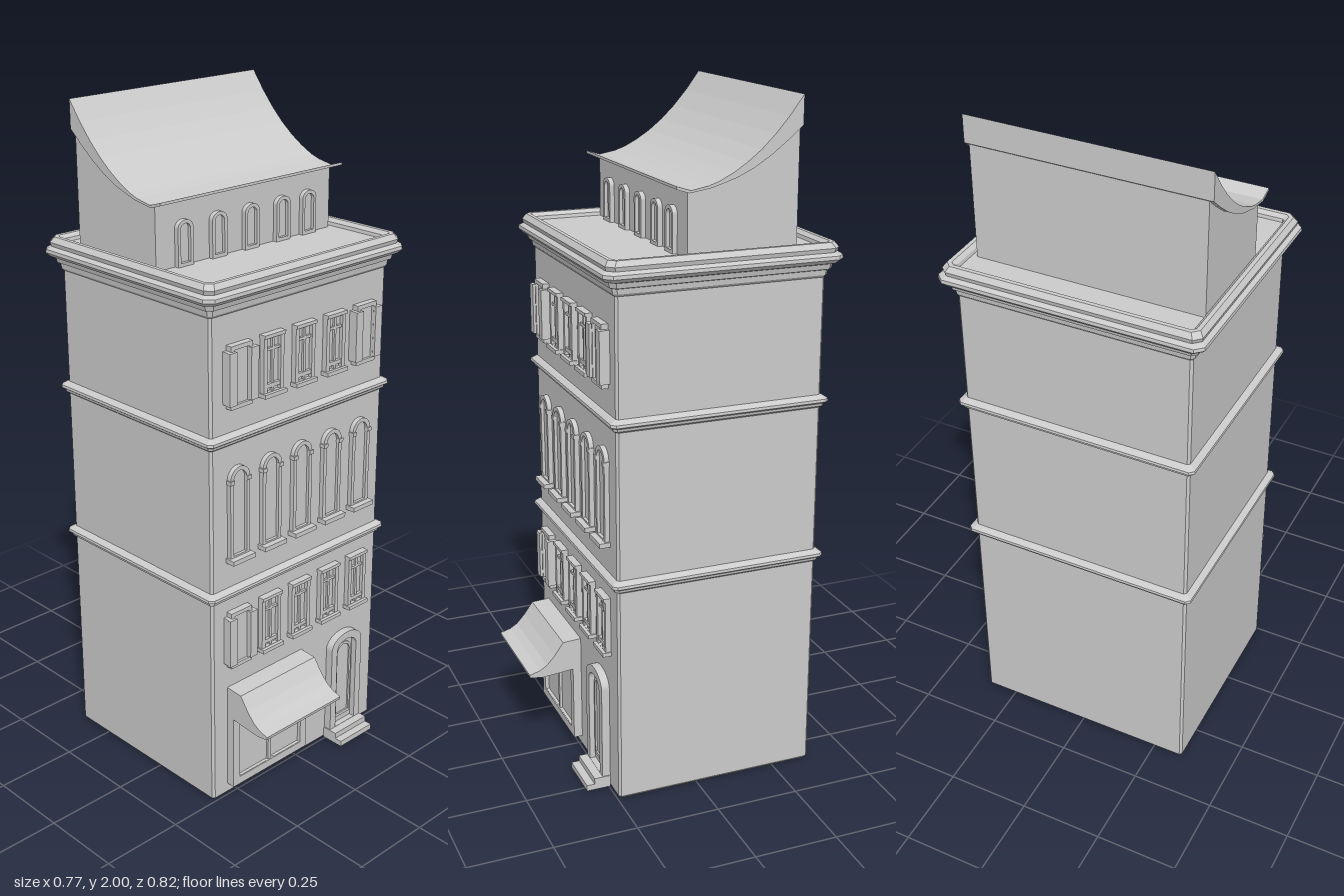
import * as THREE from 'three';

const mat = new THREE.MeshStandardMaterial({ color: 0xcccccc, flatShading: true, side: THREE.DoubleSide });
const HX = 0.345, HZ = 0.308, CZ = -0.062, FACE = CZ + HZ;

function add(parent, name, geo, x = 0, y = 0, z = 0) {
  const m = new THREE.Mesh(geo, mat);
  m.name = name;
  m.position.set(x, y, z);
  parent.add(m);
  return m;
}
const box = (p, name, w, h, d, x, y, z) => add(p, name, new THREE.BoxGeometry(w, h, d), x, y, z);

// Stacked chamfered rectangles; each profile entry is [overhang, y, chamfer]
function loft(profile) {
  const rings = profile.map(([o, y, c]) => {
    const a = HX + o, b = HZ + o;
    return [[-a + c, b], [a - c, b], [a, b - c], [a, -b + c], [a - c, -b], [-a + c, -b], [-a, -b + c], [-a, b - c]]
      .map(([x, z]) => [x, y, z + CZ]);
  });
  const pos = [];
  const tri = (a, b, c) => pos.push(...a, ...b, ...c);
  for (let k = 0; k < rings.length - 1; k++) {
    for (let i = 0; i < 8; i++) {
      const j = (i + 1) % 8, lo = rings[k], hi = rings[k + 1];
      tri(lo[i], lo[j], hi[j]);
      tri(lo[i], hi[j], hi[i]);
    }
  }
  const first = rings[0], last = rings[rings.length - 1];
  for (let i = 1; i < 7; i++) {
    tri(first[0], first[i + 1], first[i]);
    tri(last[0], last[i], last[i + 1]);
  }
  const g = new THREE.BufferGeometry();
  g.setAttribute('position', new THREE.Float32BufferAttribute(pos, 3));
  g.computeVertexNormals();
  return g;
}

// Side profile of [z, y] points, extruded across x
function sideExtrude(points, x0, x1) {
  const s = new THREE.Shape(points.map(([z, y]) => new THREE.Vector2(z, y)));
  return new THREE.ExtrudeGeometry(s, { depth: x1 - x0, bevelEnabled: false })
    .rotateY(-Math.PI / 2).translate(x1, 0, 0);
}

// Outline standing on y0, with an elliptical head of the given rise (0 = square)
function outline(w, y0, y1, rise, Type = THREE.Shape) {
  const s = new Type();
  s.moveTo(-w / 2, y0);
  s.lineTo(w / 2, y0);
  s.lineTo(w / 2, y1 - rise);
  if (rise > 0) s.absellipse(0, y1 - rise, w / 2, rise, 0, Math.PI, false);
  else s.lineTo(-w / 2, y1);
  s.closePath();
  return s;
}
const extrude = (s, depth) => new THREE.ExtrudeGeometry(s, { depth, bevelEnabled: false, curveSegments: 10 });

// Raised surround with an opening, plus the flat pane inside it
function framed(p, name, w, y0, y1, rise, t, depth, paneDepth) {
  const s = outline(w, y0, y1, rise);
  s.holes.push(outline(w - 2 * t, y0 + t, y1 - t, Math.max(0, rise - t * 0.6), THREE.Path));
  add(p, name + 'Frame', extrude(s, depth));
  add(p, name + 'Pane', extrude(outline(w - 1.8 * t, y0 + t, y1 - t, Math.max(0, rise - t * 0.6)), paneDepth));
}

function place(parent, name, x, y, z = FACE) {
  const g = new THREE.Group();
  g.name = name;
  g.position.set(x, y, z);
  parent.add(g);
  return g;
}

function sashWindow(parent, x, y) {
  const g = place(parent, 'sashWindow', x, y);
  framed(g, 'window', 0.077, 0, 0.18, 0, 0.013, 0.016, 0.005);
  box(g, 'mullion', 0.008, 0.154, 0.012, 0, 0.09, 0.006);
  box(g, 'transom', 0.052, 0.008, 0.012, 0, 0.135, 0.006);
  box(g, 'lowerRail', 0.052, 0.012, 0.014, 0, 0.03, 0.007);
  box(g, 'sill', 0.084, 0.012, 0.026, 0, 0.006, 0.013);
  box(g, 'lintel', 0.08, 0.01, 0.021, 0, 0.175, 0.0105);
}

function shutteredWindow(parent, x, y) {
  const g = place(parent, 'shutteredWindow', x, y);
  framed(g, 'window', 0.08, 0, 0.18, 0, 0.012, 0.02, 0.012);
  for (const s of [-1, 1]) {
    box(g, 'shutter', 0.028, 0.15, 0.008, s * 0.04, 0.09, 0.026);
    box(g, 'shutterHinge', 0.012, 0.15, 0.024, s * 0.046, 0.09, 0.012);
  }
}

export function createModel() {
  const root = new THREE.Group();
  root.name = 'townhouse';

  // Walls, storey bands and crowning cornice with the sunken roof deck
  add(root, 'walls', loft([[-0.006, 0, 0.006], [0, 0.008, 0.007], [0, 1.54, 0.007]]));
  for (const y of [0.678, 1.15]) {
    add(root, 'storeyBand', loft([[0, y - 0.02, 0.007], [0.008, y - 0.014, 0.008], [0.01, y - 0.006, 0.01],
      [0.019, y, 0.012], [0.018, y + 0.008, 0.012], [0.006, y + 0.016, 0.008], [0, y + 0.018, 0.007]]));
  }
  add(root, 'cornice', loft([[0, 1.505, 0.007], [0.006, 1.512, 0.01], [0.008, 1.527, 0.01], [0.016, 1.53, 0.014],
    [0.02, 1.545, 0.016], [0.032, 1.549, 0.02], [0.042, 1.56, 0.022], [0.041, 1.57, 0.022], [0.029, 1.578, 0.02],
    [0.032, 1.59, 0.02], [0.021, 1.605, 0.018], [0.009, 1.605, 0.01], [-0.002, 1.595, 0.006], [-0.004, 1.585, 0.004]]));

  // Attic under a swept roof
  const under = [[0.035, 1.76], [-0.03, 1.77], [-0.1, 1.792], [-0.15, 1.815], [-0.2, 1.846], [-0.25, 1.884], [-0.288, 1.92]];
  const over = [[-0.292, 2], [-0.25, 1.945], [-0.21, 1.9], [-0.17, 1.862], [-0.13, 1.831], [-0.09, 1.806],
    [-0.05, 1.786], [-0.02, 1.776], [0.03, 1.767], [0.072, 1.78]];
  add(root, 'attic', sideExtrude([[-0.288, 1.58], [0.035, 1.58], ...under], -0.342, 0.326));
  add(root, 'sweptRoof', sideExtrude([[0.072, 1.772], ...under.slice(0, -1), [-0.292, 1.92], ...over], -0.355, 0.338));

  const columns = [-0.248, -0.123, 0, 0.124, 0.248];
  for (const x of [-0.247, -0.122, 0.002, 0.125, 0.23]) {
    framed(place(root, 'atticWindow', x, 1.585, 0.035), 'atticWindow', 0.055, 0, 0.128, 0.022, 0.01, 0.014, 0.004);
  }

  // Rectangular windows on the second and top storeys, some shuttered
  columns.forEach((x, i) => {
    (i === 0 || i === 4 ? shutteredWindow : sashWindow)(root, x, 1.24);
    (i === 0 ? shutteredWindow : sashWindow)(root, x, 0.44);
  });

  // Tall arched windows
  for (const x of columns) {
    const g = place(root, 'archedWindow', x, 0.785);
    framed(g, 'arch', 0.074, 0, 0.28, 0.037, 0.012, 0.014, 0.005);
    for (const s of [-1, 1]) box(g, 'impost', 0.016, 0.012, 0.018, s * 0.032, 0.238, 0.009);
    box(g, 'sill', 0.086, 0.014, 0.032, 0, 0, 0.016);
  }

  // Shop front with awning
  const shop = place(root, 'shopFront', -0.133, 0);
  framed(shop, 'shop', 0.308, 0.035, 0.3, 0, 0.025, 0.026, 0.014);
  box(shop, 'shopMullion', 0.012, 0.22, 0.022, 0, 0.165, 0.011);
  for (const s of [-1, 1]) box(shop, 'shopLedge', 0.11, 0.01, 0.024, s * 0.07, 0.056, 0.012);
  add(root, 'awning', sideExtrude([[0.24, 0.37], [0.302, 0.366], [0.33, 0.327], [0.355, 0.3], [0.378, 0.286],
    [0.41, 0.277], [0.409, 0.268], [0.37, 0.262], [0.3, 0.268], [0.24, 0.275]], -0.287, 0.021));

  // Arched door and steps
  const door = place(root, 'door', 0.202, 0);
  framed(door, 'door', 0.134, 0.015, 0.366, 0.045, 0.024, 0.024, 0.006);
  const leaf = outline(0.07, 0.06, 0.325, 0.03);
  leaf.holes.push(outline(0.054, 0.07, 0.317, 0.025, THREE.Path));
  add(door, 'doorMoulding', extrude(leaf, 0.011));
  box(door, 'lowerStep', 0.14, 0.018, 0.074, 0, 0.011, 0.037);
  box(door, 'upperStep', 0.14, 0.018, 0.05, 0, 0.029, 0.025);

  return root;
}
